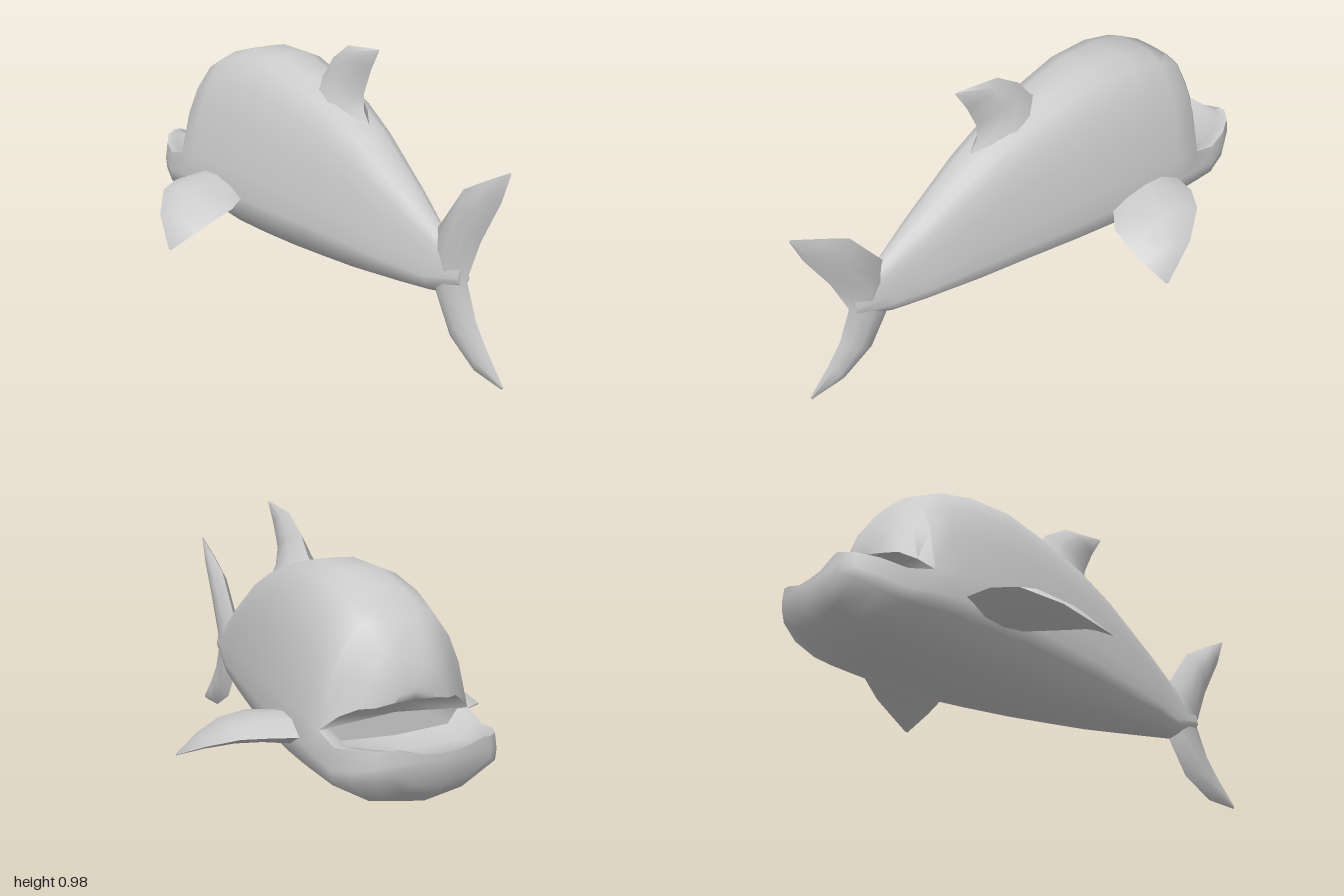
import * as THREE from 'three';
import { mergeGeometries, toCreasedNormals } from 'three/addons/utils/BufferGeometryUtils.js';

const material = new THREE.MeshStandardMaterial({ color: 0xcccccc });

// Skin a list of equal-length rings of [x, y, z] and close both ends.
function loft(rings) {
  const n = rings[0].length;
  const pts = rings.flat();
  const idx = [];
  for (let r = 0; r < rings.length - 1; r++) {
    for (let i = 0; i < n; i++) {
      const a = r * n + i, b = r * n + (i + 1) % n;
      idx.push(a, b, a + n, b, b + n, a + n);
    }
  }
  const cap = (r, flip) => {
    const c = [0, 1, 2].map(k => rings[r].reduce((s, p) => s + p[k], 0) / n);
    const ci = pts.push(c) - 1;
    for (let i = 0; i < n; i++) {
      const a = r * n + i, b = r * n + (i + 1) % n;
      if (flip) idx.push(ci, b, a); else idx.push(ci, a, b);
    }
  };
  cap(0, true);
  cap(rings.length - 1, false);
  // Turn the faces outward when the enclosed volume comes out negative.
  let volume = 0;
  const v = i => new THREE.Vector3(...pts[i]);
  for (let i = 0; i < idx.length; i += 3) {
    volume += v(idx[i]).dot(v(idx[i + 1]).cross(v(idx[i + 2])));
  }
  if (volume < 0) idx.reverse();
  const geo = new THREE.BufferGeometry();
  geo.setAttribute('position', new THREE.Float32BufferAttribute(pts.flat(), 3));
  geo.setIndex(idx);
  return geo.toNonIndexed();
}

// Symmetric ring: profile of [width, height] fractions from one centre point to the other.
function section([z, top, bottom, w], profile) {
  const half = profile.map(([u, h]) => [u * w, bottom + h * (top - bottom), z]);
  const other = half.slice(1, -1).reverse().map(([x, y, q]) => [-x, y, q]);
  return [...half, ...other];
}

// Fin from stations [leading point, trailing point, half thickness]; axis = thickness direction.
function fin(stations, axis) {
  const shape = [[0, 0], [0.25, 0.9], [0.5, 1], [0.8, 0.6], [1, 0], [0.8, -0.6], [0.5, -1], [0.25, -0.9]];
  return loft(stations.map(([a, b, t]) => shape.map(([s, k]) => {
    const p = a.map((c, i) => c + (b[i] - c) * s);
    p[axis] += k * t;
    return p;
  })));
}

function part(name, geometry, crease = 1.1) {
  const mesh = new THREE.Mesh(toCreasedNormals(geometry, crease), material);
  mesh.name = name;
  return mesh;
}

export function createModel() {
  const group = new THREE.Group();
  group.name = 'fish';

  // Body, brow and lower jaw; rows are [z, top, bottom, half width]
  const split = 0.42;
  const outline = [[0, 1], [0.25, 0.995], [0.47, 0.96], [0.68, 0.83], [0.82, 0.68], [0.96, split],
    [1, 0.28], [0.98, 0.19], [0.53, 0.05], [0, 0]];
  const browShape = [...outline.slice(0, 6).map(([u, h]) => [u, (h - split) / (1 - split)]), [0, 0.06]];
  const jawShape = [[0, 0.78], [0.7, 0.82], [0.82, 1], ...outline.slice(5).map(([u, h]) => [u, h / split])];

  const body = loft([
    [0.78, 0.36, 0.29, 0.025], [0.64, 0.45, 0.22, 0.055], [0.5, 0.54, 0.2, 0.1], [0.26, 0.69, 0.165, 0.155],
    [0.1, 0.765, 0.15, 0.19], [-0.08, 0.82, 0.135, 0.225], [-0.28, 0.863, 0.125, 0.26],
    [-0.46, 0.858, 0.12, 0.28], [-0.6, 0.82, 0.13, 0.29], [-0.7, 0.765, 0.14, 0.29],
  ].map(s => section(s, outline)));
  const mouthY = 0.14 + split * 0.625;
  const brow = loft([
    [-0.7, 0.765, mouthY, 0.29], [-0.735, 0.735, 0.45, 0.235], [-0.78, 0.665, 0.48, 0.185],
    [-0.807, 0.605, 0.485, 0.14], [-0.825, 0.545, 0.5, 0.075],
  ].map(s => section(s, browShape)));
  const jaw = loft([
    [-0.7, mouthY, 0.14, 0.29], [-0.8, 0.375, 0.152, 0.285], [-0.89, 0.39, 0.185, 0.262],
    [-0.96, 0.402, 0.235, 0.22], [-0.995, 0.408, 0.275, 0.175],
  ].map(s => section(s, jawShape)));
  group.add(part('bodyAndHead', mergeGeometries([body, brow, jaw])));

  // Dorsal fin, flared where it meets the back
  group.add(part('dorsalFin', fin([
    [[0, 0.77, -0.12], [0, 0.68, 0.25], 0.085],
    [[0, 0.835, -0.05], [0, 0.75, 0.2], 0.055],
    [[0, 0.9, 0], [0, 0.81, 0.2], 0.035],
    [[0, 0.965, 0.1], [0, 0.9, 0.24], 0.022],
    [[0, 0.985, 0.28], [0, 0.982, 0.29], 0.002],
  ], 0), 1.3));

  // Forked tail, one loft from the upper tip to the lower tip
  group.add(part('tailFin', fin([
    [[0, 0.738, 0.985], [0, 0.733, 0.99], 0.002],
    [[0, 0.675, 0.865], [0, 0.63, 0.95], 0.018],
    [[0, 0.62, 0.765], [0, 0.47, 0.86], 0.032],
    [[0, 0.45, 0.64], [0, 0.32, 0.8], 0.036],
    [[0, 0.22, 0.635], [0, 0.31, 0.8], 0.034],
    [[0, 0.085, 0.72], [0, 0.19, 0.85], 0.028],
    [[0, 0.012, 0.85], [0, 0.11, 0.91], 0.022],
    [[0, 0.003, 0.99], [0, 0.015, 0.997], 0.002],
  ], 0), 1.3));

  // Pair of drooping side fins
  for (const [name, s] of [['leftSideFin', 1], ['rightSideFin', -1]]) {
    group.add(part(name, fin([
      [[s * 0.2, 0.34, -0.6], [s * 0.2, 0.33, -0.27], 0.05],
      [[s * 0.28, 0.34, -0.58], [s * 0.26, 0.33, -0.25], 0.048],
      [[s * 0.38, 0.345, -0.555], [s * 0.33, 0.325, -0.185], 0.042],
      [[s * 0.46, 0.335, -0.5], [s * 0.41, 0.305, -0.168], 0.036],
      [[s * 0.535, 0.285, -0.38], [s * 0.49, 0.265, -0.175], 0.022],
      [[s * 0.582, 0.212, -0.22], [s * 0.58, 0.208, -0.205], 0.002],
    ], 1), 1.3));
  }
  return group;
}
